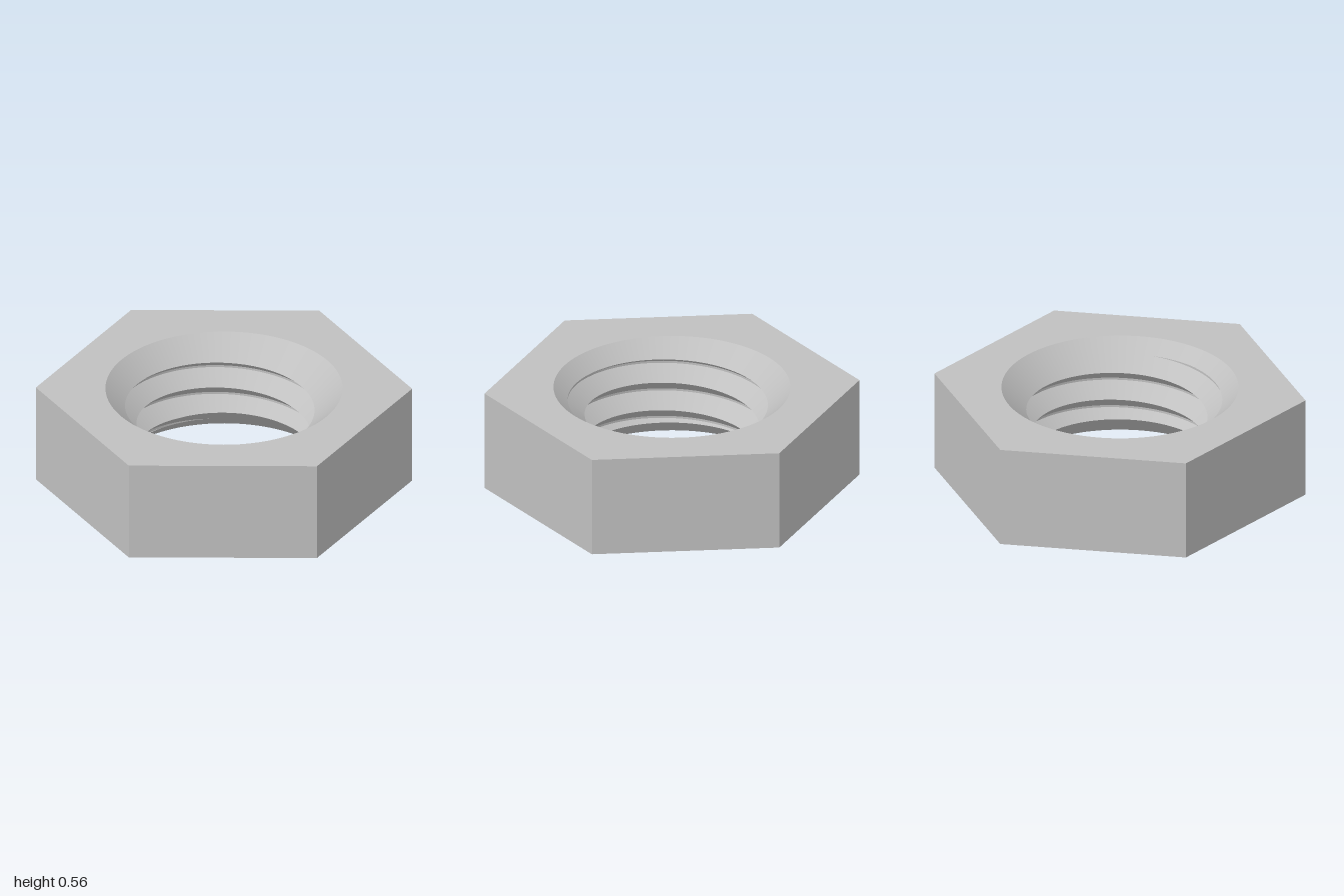
import * as THREE from 'three';
import { toCreasedNormals } from 'three/addons/utils/BufferGeometryUtils.js';

const HEIGHT = 0.555;
const MOUTH = 0.63;        // chamfer radius at the top and bottom faces
const CHAMFER = 0.95;      // chamfer drop per unit of radius
const MINOR = 0.465;       // thread crest radius
const DEPTH = 0.09;        // thread depth
const PITCH = 0.162;
const FLAT = 0.006;        // half height of the flat groove root
const SEGMENTS = 180;

// Groove centre height at angle a (clockwise seen from above), a right-hand helix
const grooveY = (a) => 0.478 - PITCH * (a / (2 * Math.PI) + 0.071);

function threadRadius(a, y) {
  const turns = (y - grooveY(a)) / PITCH;
  const d = Math.abs(turns - Math.round(turns)) * PITCH;
  return MINOR + DEPTH * Math.min(1, (PITCH / 2 - d) / (PITCH / 2 - FLAT));
}

const coneRadius = (y) => MOUTH - Math.min(y, HEIGHT - y) / CHAMFER;

// One upright section of the bore: thread corners plus chamfer crossings
function boreSection(a) {
  const corners = [];
  for (let k = -4; k <= 3; k++) {
    for (const offset of [-PITCH / 2, -FLAT, FLAT]) {
      corners.push(THREE.MathUtils.clamp(grooveY(a) + k * PITCH + offset, 0, HEIGHT));
    }
  }
  const over = (y) => threadRadius(a, y) - coneRadius(y);
  const heights = [];
  corners.forEach((y, i) => {
    heights.push(y);
    if (i === corners.length - 1) return;
    const next = corners[i + 1];
    const f0 = over(y);
    const change = f0 - over(next);
    const t = Math.abs(change) < 1e-9 ? 0.5 : THREE.MathUtils.clamp(f0 / change, 0, 1);
    heights.push(y + (next - y) * t);
  });
  return heights.map((y) => {
    const r = Math.max(threadRadius(a, y), coneRadius(y));
    return new THREE.Vector3(-r * Math.sin(a), y, r * Math.cos(a));
  });
}

// Chamfered and threaded inner wall, lofted around the axis
function boreGeometry() {
  const sections = [];
  for (let i = 0; i <= SEGMENTS; i++) sections.push(boreSection((i / SEGMENTS) * Math.PI * 2));
  const positions = [];
  const triangle = new THREE.Triangle();
  const add = (a, b, c) => {
    triangle.set(a, b, c);
    if (triangle.getArea() > 1e-8) positions.push(...a.toArray(), ...b.toArray(), ...c.toArray());
  };
  for (let i = 0; i < SEGMENTS; i++) {
    const p = sections[i];
    const q = sections[i + 1];
    for (let j = 0; j < p.length - 1; j++) {
      add(p[j], q[j], q[j + 1]);
      add(p[j], q[j + 1], p[j + 1]);
    }
  }
  const geometry = new THREE.BufferGeometry();
  geometry.setAttribute('position', new THREE.Float32BufferAttribute(positions, 3));
  return toCreasedNormals(geometry, 0.4);
}

// Hexagonal face with a round opening
function faceGeometry() {
  const shape = new THREE.Shape();
  for (let i = 0; i < 6; i++) {
    const a = (i * Math.PI) / 3;
    if (i === 0) shape.moveTo(1, 0);
    else shape.lineTo(Math.cos(a), Math.sin(a));
  }
  shape.closePath();
  const hole = new THREE.Path();
  hole.absarc(0, 0, MOUTH, 0, Math.PI * 2, true);
  shape.holes.push(hole);
  return new THREE.ShapeGeometry(shape, SEGMENTS / 2);
}

export function createModel() {
  const model = new THREE.Group();
  model.name = 'hexNut';
  const steel = new THREE.MeshStandardMaterial({ color: 0xc0c0c0 });
  steel.name = 'steel grey';

  const addPart = (name, geometry) => {
    const mesh = new THREE.Mesh(geometry, steel);
    mesh.name = name;
    model.add(mesh);
    return mesh;
  };

  // Six flat outer sides
  const sides = new THREE.CylinderGeometry(1, 1, HEIGHT, 6, 1, true, Math.PI / 2);
  addPart('hexSides', toCreasedNormals(sides, 0.3)).position.y = HEIGHT / 2;

  // Top and bottom faces
  const top = addPart('topFace', faceGeometry());
  top.rotation.x = -Math.PI / 2;
  top.position.y = HEIGHT;
  addPart('bottomFace', faceGeometry()).rotation.x = Math.PI / 2;

  // Threaded hole with chamfered mouths
  addPart('threadedBore', boreGeometry());
  return model;
}
